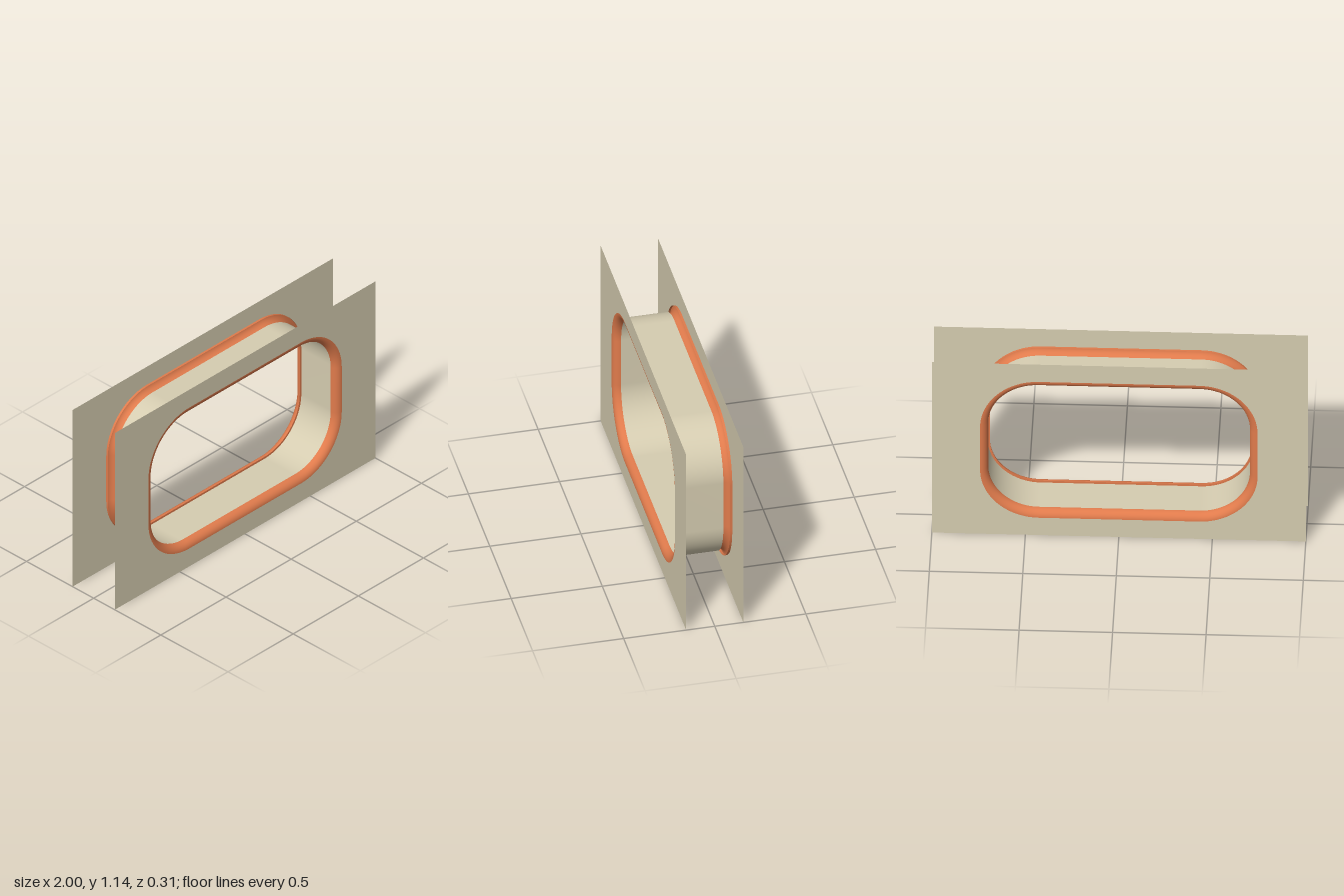
import * as THREE from 'three';

const CY = 0.572;              // height of the opening's centre
const CORE_X = 0.43, CORE_Y = 0.144; // corner arc centres
const R_OPEN = 0.312;          // corner radius at the panel
const FLARE = 0.042, WALL = 0.012;
const Z_PANEL = 0.157, Z_SLEEVE = Z_PANEL - FLARE;

// Rounded rectangle outline, counter-clockwise, with corner radius r
function outline(r, steps = 20) {
  const pts = [];
  [[1, 1], [-1, 1], [-1, -1], [1, -1]].forEach(([sx, sy], q) => {
    for (let i = 0; i <= steps; i++) {
      const a = (q + i / steps) * Math.PI / 2;
      pts.push(new THREE.Vector2(sx * CORE_X + r * Math.cos(a), CY + sy * CORE_Y + r * Math.sin(a)));
    }
  });
  return pts;
}

// Sweep a profile of [radius, z] points round the outline
function sweep(profile) {
  const pos = [], idx = [];
  let n = 0;
  profile.forEach(([r, z]) => {
    const ring = outline(r);
    n = ring.length;
    ring.forEach(p => pos.push(p.x, p.y, z));
  });
  for (let j = 0; j < profile.length - 1; j++) {
    for (let i = 0; i < n; i++) {
      const k = (i + 1) % n;
      const a = j * n + i, b = j * n + k, c = a + n, d = b + n;
      idx.push(a, b, d, a, d, c);
    }
  }
  const g = new THREE.BufferGeometry();
  g.setAttribute('position', new THREE.Float32BufferAttribute(pos, 3));
  g.setIndex(idx);
  g.computeVertexNormals();
  return g;
}

export function createModel() {
  const group = new THREE.Group();
  const stone = new THREE.MeshStandardMaterial({ color: 0xd6cdb1, side: THREE.DoubleSide });
  stone.name = 'beige';
  const copper = new THREE.MeshStandardMaterial({ color: 0xe07b4c, side: THREE.DoubleSide });
  copper.name = 'orange';
  const add = (name, geo, mat) => {
    const m = new THREE.Mesh(geo, mat);
    m.name = name;
    group.add(m);
    return m;
  };

  // Sleeve joining the two openings
  const rs = R_OPEN - FLARE + WALL;
  add('sleeve', sweep([[rs, -Z_SLEEVE], [rs, Z_SLEEVE]]), stone);

  // Flat panel with the rounded opening
  const shape = new THREE.Shape([[-1, 0], [1, 0], [1, 2 * CY], [-1, 2 * CY]].map(p => new THREE.Vector2(...p)));
  shape.holes.push(new THREE.Path(outline(R_OPEN).reverse()));
  const panelGeo = new THREE.ShapeGeometry(shape);

  for (const [side, s] of [['front', 1], ['back', -1]]) {
    const panel = add(side + 'Panel', panelGeo, stone);
    panel.position.z = s * Z_PANEL;
    if (s < 0) panel.rotation.y = Math.PI;

    // Quarter-round flare from the sleeve out to the panel
    const arc = [];
    for (let i = 0; i <= 12; i++) {
      const a = i / 12 * Math.PI / 2;
      arc.push([R_OPEN - FLARE * Math.cos(a), s * (Z_SLEEVE + FLARE * Math.sin(a))]);
    }
    add(side + 'Flare', sweep(arc), copper);
    // Rim behind the panel and step at the sleeve
    add(side + 'Rim', sweep([[R_OPEN, s * (Z_PANEL - WALL)], [R_OPEN, s * Z_PANEL]]), copper);
    add(side + 'Step', sweep([[R_OPEN - FLARE, s * Z_SLEEVE], [rs, s * Z_SLEEVE]]), copper);
  }
  return group;
}
